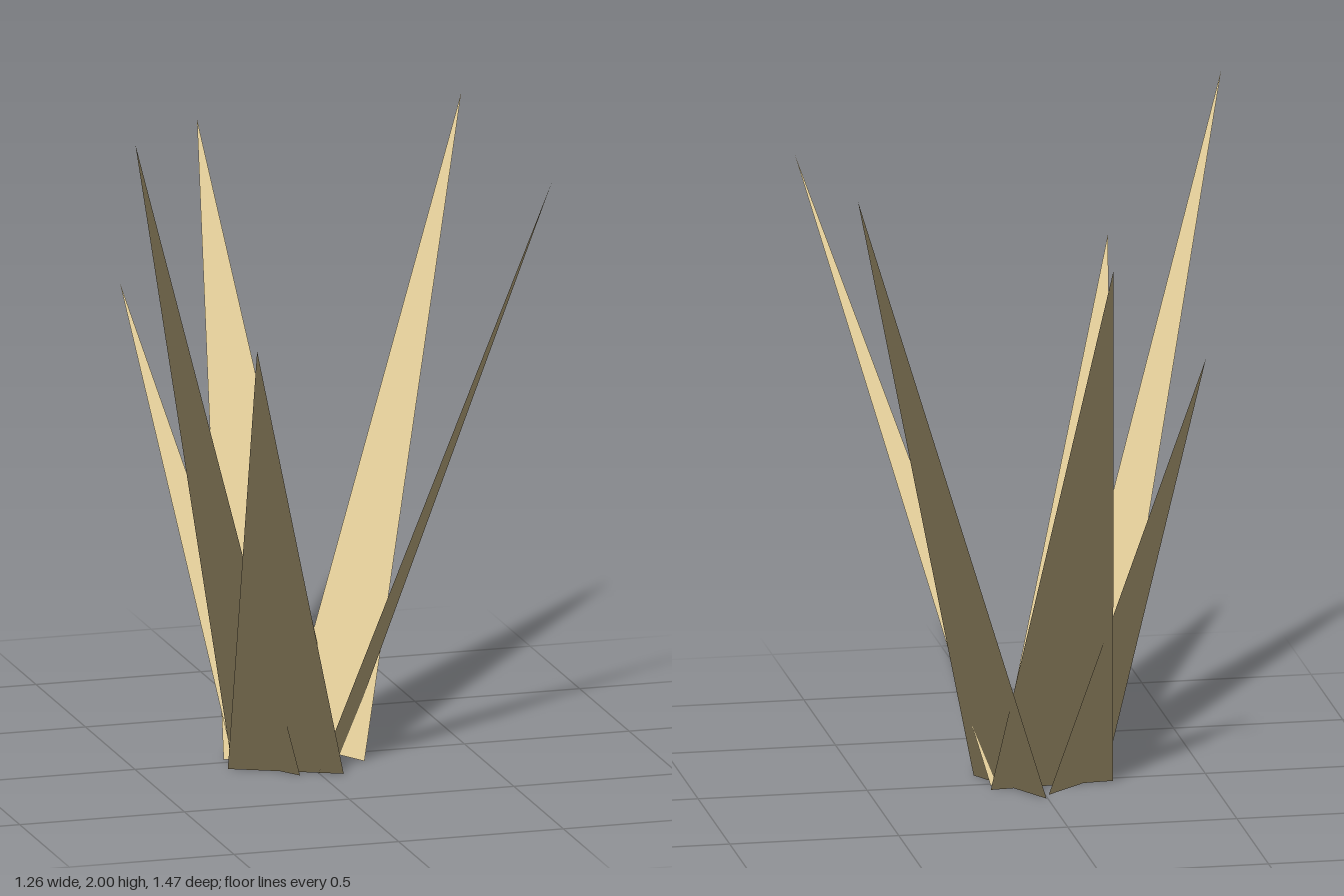
import * as THREE from 'three';

const straw = new THREE.MeshStandardMaterial({ color: 0xe7d29c, side: THREE.DoubleSide });
straw.name = 'dryGrass';

// One flat pointed blade, front side facing up; upward normals give the whole tuft even shading
function blade(name, tip, [ax, az], [bx, bz]) {
  const corners = [bx, 0, bz, ax, 0, az, ...tip];
  const geometry = new THREE.BufferGeometry();
  geometry.setAttribute('position', new THREE.Float32BufferAttribute(corners, 3));
  geometry.setAttribute('normal', new THREE.Float32BufferAttribute([0, 1, 0, 0, 1, 0, 0, 1, 0], 3));
  const mesh = new THREE.Mesh(geometry, straw);
  mesh.name = name;
  return mesh;
}

export function createModel() {
  const tuft = new THREE.Group();
  tuft.name = 'grassTuft';

  // Name, tip (x, y, z), then the two ground corners (x, z)
  const blades = [
    ['frontRightBlade', [-0.628, 2.0, 0.43], [-0.204, -0.012], [-0.06, 0.203]],
    ['frontBlade', [-0.35, 1.435, 0.735], [-0.24, 0.073], [0.067, 0.222]],
    ['frontLeftBlade', [0.628, 1.8, 0.46], [-0.003, 0.2], [0.138, -0.019]],
    ['backLeftBlade', [0.588, 1.87, -0.325], [0.166, 0.102], [0.004, -0.184]],
    ['backBlade', [-0.091, 1.738, -0.735], [0.146, -0.062], [-0.222, -0.03]],
    ['backRightBlade', [-0.43, 1.36, -0.385], [-0.01, -0.145], [-0.208, 0.028]],
  ];
  for (const spec of blades) tuft.add(blade(...spec));

  return tuft;
}
